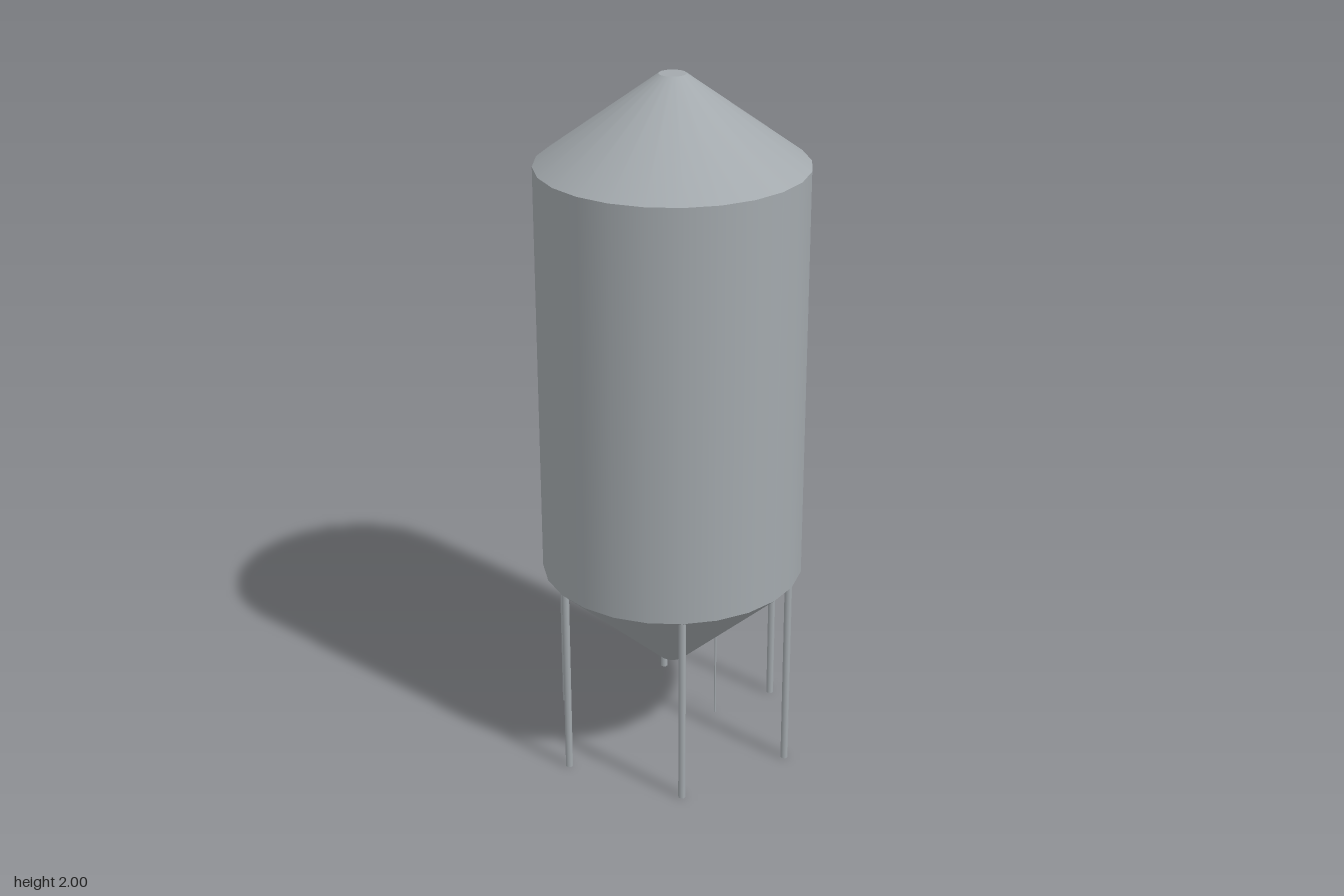
import * as THREE from 'three';

const SIDES = 24;
const RADIUS = 0.373;
const OUTLET = 0.037;
const LEG_RADIUS = 0.0105;

export function createModel() {
  const silo = new THREE.Group();
  silo.name = 'silo';

  const steel = new THREE.MeshStandardMaterial({ color: 0xa3a9ad });
  steel.name = 'galvanised steel';

  // Upright round section between two heights
  const addRound = (name, rTop, rBottom, y0, y1, sides, x = 0, z = 0, open = false) => {
    const geometry = new THREE.CylinderGeometry(rTop, rBottom, y1 - y0, sides, 1, open);
    const mesh = new THREE.Mesh(geometry, steel);
    mesh.name = name;
    mesh.position.set(x, (y0 + y1) / 2, z);
    silo.add(mesh);
  };

  // Tank: hopper, barrel and conical roof
  addRound('hopper', RADIUS, OUTLET, 0.255, 0.567, SIDES);
  addRound('barrel', RADIUS, RADIUS, 0.567, 1.755, SIDES, 0, 0, true);
  addRound('roof', OUTLET, RADIUS, 1.755, 2, SIDES);

  // Six legs under the rim
  const legRing = RADIUS - LEG_RADIUS;
  for (let i = 0; i < 6; i++) {
    const a = (i * Math.PI) / 3;
    addRound('leg', LEG_RADIUS, LEG_RADIUS, 0, 0.58, 8, legRing * Math.cos(a), legRing * Math.sin(a));
  }

  // Thin rod hanging from the hopper wall
  addRound('rod', 0.003, 0.003, 0, 0.375, 8, 0.155, 0);

  return silo;
}
